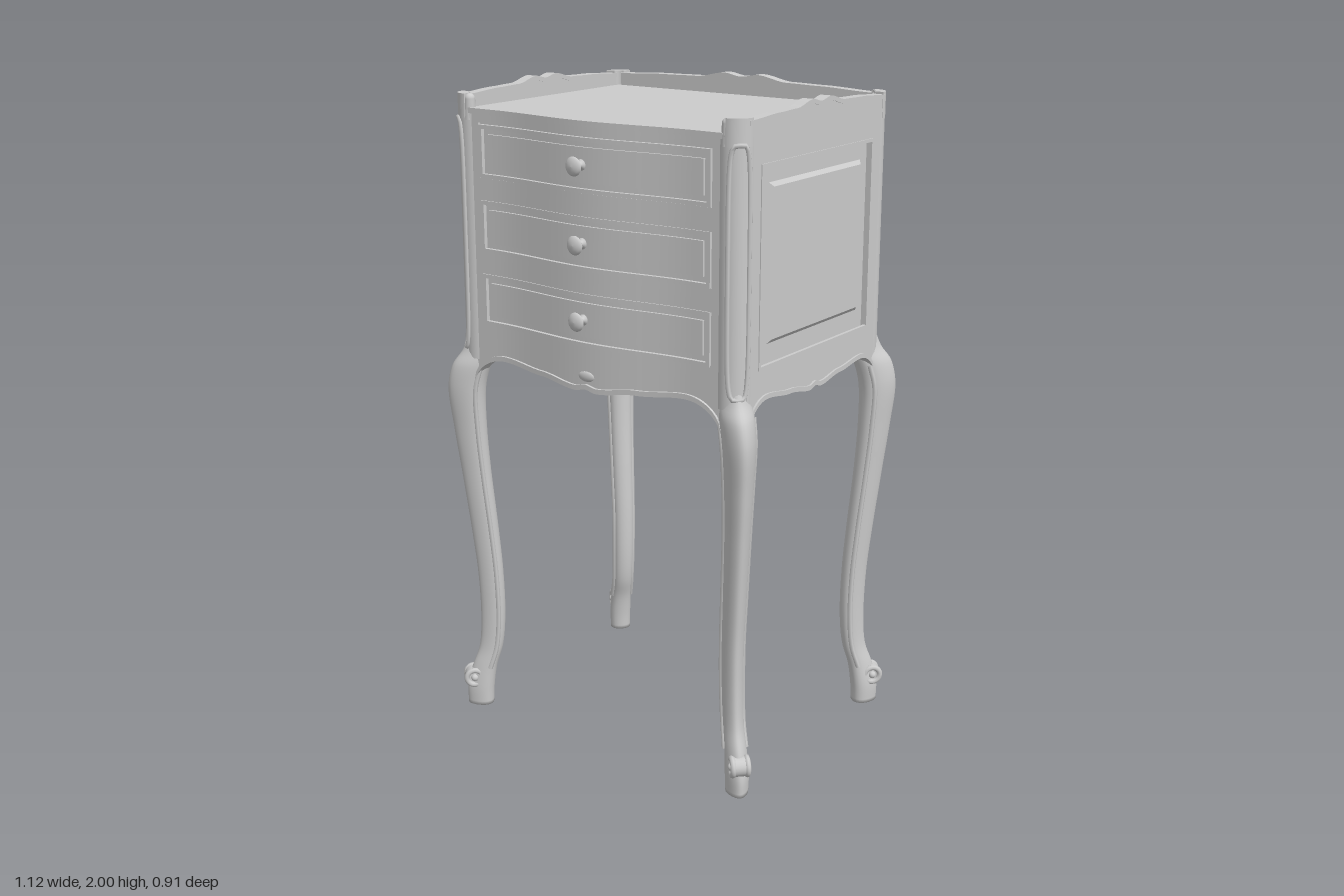
import * as THREE from 'three';

const mat = new THREE.MeshStandardMaterial({ color: 0xcccccc });

function add(parent, name, geo, x = 0, y = 0, z = 0) {
  const m = new THREE.Mesh(geo, mat);
  m.name = name;
  m.position.set(x, y, z);
  parent.add(m);
  return m;
}

// Smooth interpolation through [position, value] knots, symmetric about 0
const wave = (knots, half) => u => {
  const a = Math.min(Math.abs(u) / half, 1);
  let i = 1;
  while (i < knots.length - 1 && a > knots[i][0]) i++;
  const [p, v] = knots[i - 1], [q, w] = knots[i];
  return v + (w - v) * THREE.MathUtils.smoothstep(a, p, q);
};
// Apron edge: scalloped centre, quarter-ellipse arch down to the legs
const apronEdge = half => u => {
  const t = Math.min(1, Math.max(0, (Math.abs(u) / half - 0.72) / 0.28));
  return wave([[0, 1.168], [0.08, 1.16], [0.38, 1.176], [0.72, 1.19], [1, 1.19]], half)(u) - 0.11 * (1 - Math.sqrt(1 - t * t));
};
const CREST = [[0, 1.99], [0.13, 1.999], [0.36, 1.982], [0.6, 1.98], [1, 1.973]];
const bow = x => 0.03 * (Math.abs(x) < 0.36 ? 0.5 + 0.5 * Math.cos(x / 0.36 * Math.PI) : 0);
const flat = () => 0;
const fn = v => (typeof v === 'function' ? v : () => v);

// Board from x0 to x1 with curved lower/upper edges; outer face at z = out + bulge(x)
function strip(parent, name, x0, x1, bot, top, out, t, bulge = flat) {
  const g = new THREE.BoxGeometry(x1 - x0, 1, t, 80, 1, 1);
  const p = g.attributes.position, b = fn(bot), c = fn(top);
  for (let i = 0; i < p.count; i++) {
    const x = p.getX(i) + (x0 + x1) / 2;
    const y = p.getY(i) < 0 ? b(x) : c(x);
    p.setXYZ(i, x, y, p.getZ(i) - t / 2 + out + bulge(x));
  }
  g.computeVertexNormals();
  return add(parent, name, g);
}

// Rectangular bead moulding
function beadFrame(parent, name, w, y0, y1, out, size, bulge = flat) {
  strip(parent, name + 'Bottom', -w, w, y0 - size, y0, out, size, bulge);
  strip(parent, name + 'Top', -w, w, y1, y1 + size, out, size, bulge);
  for (const s of [-1, 1])
    add(parent, name + 'Side', new THREE.BoxGeometry(size, y1 - y0 + 2 * size, size),
      s * (w + size / 2), (y0 + y1) / 2, out - size / 2 + bulge(w));
}

// Framed wall: scalloped apron, crested top rail, stiles and sunk panel
function wall(parent, name, half, open, y0, y1, sink) {
  const g = new THREE.Group();
  g.name = name;
  parent.add(g);
  const low = apronEdge(half), high = wave(CREST, half);
  strip(g, 'apron', -half, half, low, y0, 0, 0.03);
  strip(g, 'apronBead', -half, half, low, x => low(x) + 0.014, 0.006, 0.036);
  strip(g, 'topRail', -half, half, y1, high, 0, 0.03);
  strip(g, 'crestBead', -half, half, x => high(x) - 0.012, x => high(x) + 0.001, 0.003, 0.035);
  for (const s of [-1, 1])
    add(g, 'stile', new THREE.BoxGeometry(half - open, y1 - y0, 0.03), s * (half + open) / 2, (y0 + y1) / 2, -0.015);
  add(g, 'sunkPanel', new THREE.BoxGeometry(2 * open, y1 - y0, 0.012), 0, (y0 + y1) / 2, -sink - 0.006);
  beadFrame(g, 'panelBead', open - 0.008, y0 + 0.008, y1 - 0.008, 0.003, 0.01);
  return g;
}

// Plan-shaped board with the bowed front
function planBoard(parent, name, y, t) {
  const s = new THREE.Shape();
  s.moveTo(-0.46, 0.395);
  s.lineTo(-0.49, 0.36);
  s.lineTo(-0.49, -0.34);
  for (let i = 0; i <= 48; i++) {
    const x = -0.46 + 0.92 * i / 48;
    s.lineTo(x, -0.378 - bow(x));
  }
  s.lineTo(0.49, -0.34);
  s.lineTo(0.49, 0.36);
  s.lineTo(0.46, 0.395);
  const g = new THREE.ExtrudeGeometry(s, { depth: t, bevelEnabled: false });
  g.rotateX(-Math.PI / 2);
  add(parent, name, g, 0, y, 0);
}

// Rounded gallery corner joining two rails; front ones finish in a small curl
function galleryCorner(parent, sx, sz, z) {
  const mid = Math.atan2(-sz, sx), s = new THREE.Shape();
  s.absarc(0, 0, 0.051, mid - 0.85, mid + 0.85, false);
  s.absarc(0, 0, 0.02, mid + 0.85, mid - 0.85, true);
  const g = new THREE.ExtrudeGeometry(s, { depth: 0.076, bevelEnabled: false, curveSegments: 16 });
  add(parent, 'galleryCorner', g.rotateX(-Math.PI / 2), sx * 0.463, 1.905, z);
  if (sz > 0) {
    add(parent, 'galleryCurl', new THREE.CylinderGeometry(0.016, 0.018, 0.06, 16), sx * 0.455, 1.935, z + 0.032);
    add(parent, 'galleryCurlTop', new THREE.SphereGeometry(0.016, 16, 10), sx * 0.455, 1.965, z + 0.032);
  }
}

// Leg stations: y, x, z, radius
const LEG = [[1.25, 0.46, 0.332, 0.044], [1.2, 0.47, 0.342, 0.05], [1.15, 0.492, 0.36, 0.056],
  [1.08, 0.506, 0.369, 0.054], [0.95, 0.503, 0.364, 0.047], [0.8, 0.493, 0.354, 0.042],
  [0.6, 0.477, 0.34, 0.039], [0.45, 0.467, 0.332, 0.037], [0.3, 0.466, 0.329, 0.036],
  [0.2, 0.474, 0.334, 0.035], [0.13, 0.492, 0.348, 0.037], [0.06, 0.503, 0.356, 0.04], [0, 0.504, 0.357, 0.038]];

function leg(parent, name, sx, sz) {
  const g = new THREE.Group();
  g.name = name;
  parent.add(g);
  const dz = sz < 0 ? 0.034 : 0;
  const path = new THREE.CatmullRomCurve3(LEG.map(([y, x, z]) => new THREE.Vector3(sx * x, y, sz * (z + dz))));
  const rad = new THREE.CatmullRomCurve3(LEG.map(l => new THREE.Vector3(l[3], 0, 0)));
  const diag = Math.atan2(sz, sx), cd = Math.cos(diag), sd = Math.sin(diag);
  const rows = 60, cols = 24, pos = [], idx = [];
  for (let i = 0; i <= rows; i++) {
    const c = path.getPoint(i / rows), r = rad.getPoint(i / rows).x;
    for (let j = 0; j < cols; j++) {
      // section narrows towards the outer diagonal ridge
      const a = j / cols * Math.PI * 2, d = 1.08 * r * Math.cos(a);
      const p = 0.86 * r * Math.sin(a) * (1 - 0.3 * Math.cos(a));
      pos.push(c.x + d * cd - p * sd, c.y, c.z + d * sd + p * cd);
      if (i < rows) {
        const m = i * cols + j, n = i * cols + (j + 1) % cols;
        idx.push(m, n, m + cols, n, n + cols, m + cols);
      }
    }
  }
  const base = pos.length / 3, e = path.getPoint(1);
  pos.push(e.x, e.y, e.z);
  for (let j = 0; j < cols; j++) idx.push(base - cols + j, base - cols + (j + 1) % cols, base);
  const geo = new THREE.BufferGeometry();
  geo.setAttribute('position', new THREE.Float32BufferAttribute(pos, 3));
  geo.setIndex(idx);
  geo.computeVertexNormals();
  add(g, 'cabrioleLeg', geo);

  // Bead lines down the two inner edges
  for (const k of [-1, 1]) {
    const pts = LEG.slice(2, 11).map(([y, x, z, r]) => new THREE.Vector3(
      sx * x + r * (-0.4 * cd - k * 0.86 * sd), y, sz * (z + dz) + r * (-0.4 * sd + k * 0.86 * cd)));
    add(g, 'legBead', new THREE.TubeGeometry(new THREE.CatmullRomCurve3(pts), 48, 0.008, 6));
  }

  // Scrolled toe across the diagonal
  const foot = new THREE.Group();
  foot.name = 'scrollFoot';
  foot.position.set(sx * 0.519, 0.095, sz * (0.371 + dz));
  foot.rotation.y = sx * sz * Math.PI / 4;
  g.add(foot);
  add(foot, 'scrollRoll', new THREE.CylinderGeometry(0.03, 0.03, 0.044, 20).rotateZ(Math.PI / 2));
  for (const s of [-1, 1]) {
    add(foot, 'scrollRim', new THREE.TorusGeometry(0.025, 0.009, 8, 20).rotateY(Math.PI / 2), s * 0.022);
    add(foot, 'scrollEye', new THREE.SphereGeometry(0.012, 12, 8), s * 0.023);
  }
}

function knob(parent, y) {
  const prof = [[0.0, 0], [0.018, 0], [0.016, 0.006], [0.008, 0.012], [0.008, 0.028], [0.024, 0.034], [0.028, 0.039],
    [0.022, 0.045], [0.011, 0.049], [0, 0.05]].map(p => new THREE.Vector2(...p));
  add(parent, 'drawerKnob', new THREE.LatheGeometry(prof, 24).rotateX(Math.PI / 2), -0.01, y, 0.405);
}

export function createModel() {
  const root = new THREE.Group();
  root.name = 'bedsideTable';

  // Side and back walls
  for (const s of [-1, 1]) {
    const side = wall(root, s > 0 ? 'leftSide' : 'rightSide', 0.36, 0.3, 1.28, 1.85, 0.02);
    side.position.set(s * 0.512, 0, -0.01);
    side.rotation.y = s * Math.PI / 2;
    const field = new THREE.Shape([[-0.235, 1.35], [0.235, 1.35], [0.235, 1.78], [-0.235, 1.78]].map(p => new THREE.Vector2(...p)));
    add(side, 'raisedField', new THREE.ExtrudeGeometry(field,
      { depth: 0.002, bevelThickness: 0.01, bevelSize: 0.012, bevelSegments: 1 }), s * 0.015, 0, -0.022);
    add(root, 'bottomCleat', new THREE.BoxGeometry(0.04, 0.035, 0.6), s * 0.465, 1.235, -0.01);
  }
  const back = wall(root, 'back', 0.47, 0.41, 1.27, 1.88, 0.008);
  back.position.z = -0.41;
  back.rotation.y = Math.PI;

  // Bowed front: carcass, rails and three drawers
  const front = new THREE.Group();
  front.name = 'front';
  front.position.z = 0.382;
  root.add(front);
  const low = apronEdge(0.46);
  strip(front, 'frontCarcass', -0.46, 0.46, 1.25, 1.925, -0.01, 0.02, bow);
  strip(front, 'frontApron', -0.46, 0.46, low, 1.3, 0, 0.035, bow);
  strip(front, 'frontApronBead', -0.46, 0.46, low, x => low(x) + 0.015, 0.008, 0.044, bow);
  for (const [a, b] of [[1.45, 1.516], [1.672, 1.738], [1.9, 1.935]])
    strip(front, 'rail', -0.46, 0.46, a, b, 0, 0.03, bow);
  for (const s of [-1, 1])
    strip(front, 'frontStile', s > 0 ? 0.415 : -0.46, s > 0 ? 0.46 : -0.415, 1.28, 1.93, 0, 0.03);
  for (const y of [1.372, 1.594, 1.817]) {
    beadFrame(front, 'drawerBead', 0.4, y - 0.066, y + 0.066, 0.004, 0.012, bow);
    strip(front, 'drawerFace', -0.385, 0.385, y - 0.05, y + 0.05, -0.002, 0.02, bow);
    knob(root, y);
  }
  strip(front, 'topLip', -0.45, 0.45, 1.925, 1.941, 0.004, 0.03, bow);
  add(front, 'apronCarving', new THREE.SphereGeometry(0.02, 16, 10).scale(1.5, 0.8, 0.4), 0, 1.205, 0.028);

  planBoard(root, 'trayTop', 1.915, 0.02);
  planBoard(root, 'bottomBoard', 1.285, 0.02);

  // Corner posts, gallery corners and legs
  for (const sx of [-1, 1]) for (const sz of [-1, 1]) {
    const z = sz > 0 ? 0.338 : -0.363;
    add(root, 'cornerPost', new THREE.CylinderGeometry(0.05, 0.05, 0.755, 24), sx * 0.463, 1.5575, z);
    galleryCorner(root, sx, sz, z);
    if (sz > 0) { // moulded outline wrapped round the front post
      const pts = [];
      for (let i = 0; i < 40; i++) {
        const t = i / 40 * Math.PI * 2, a = Math.PI / 4 + 0.62 * Math.sign(Math.cos(t)) * Math.abs(Math.cos(t)) ** 0.4;
        const v = Math.sign(Math.sin(t)) * Math.abs(Math.sin(t)) ** 0.4;
        pts.push(new THREE.Vector3(sx * (0.463 + 0.051 * Math.cos(a)), 1.56 + 0.35 * v, z + 0.051 * Math.sin(a)));
      }
      add(root, 'postMoulding', new THREE.TubeGeometry(new THREE.CatmullRomCurve3(pts, true), 100, 0.007, 6, true));
    }
    leg(root, (sz > 0 ? 'front' : 'back') + (sx > 0 ? 'Left' : 'Right') + 'Leg', sx, sz);
  }
  return root;
}
